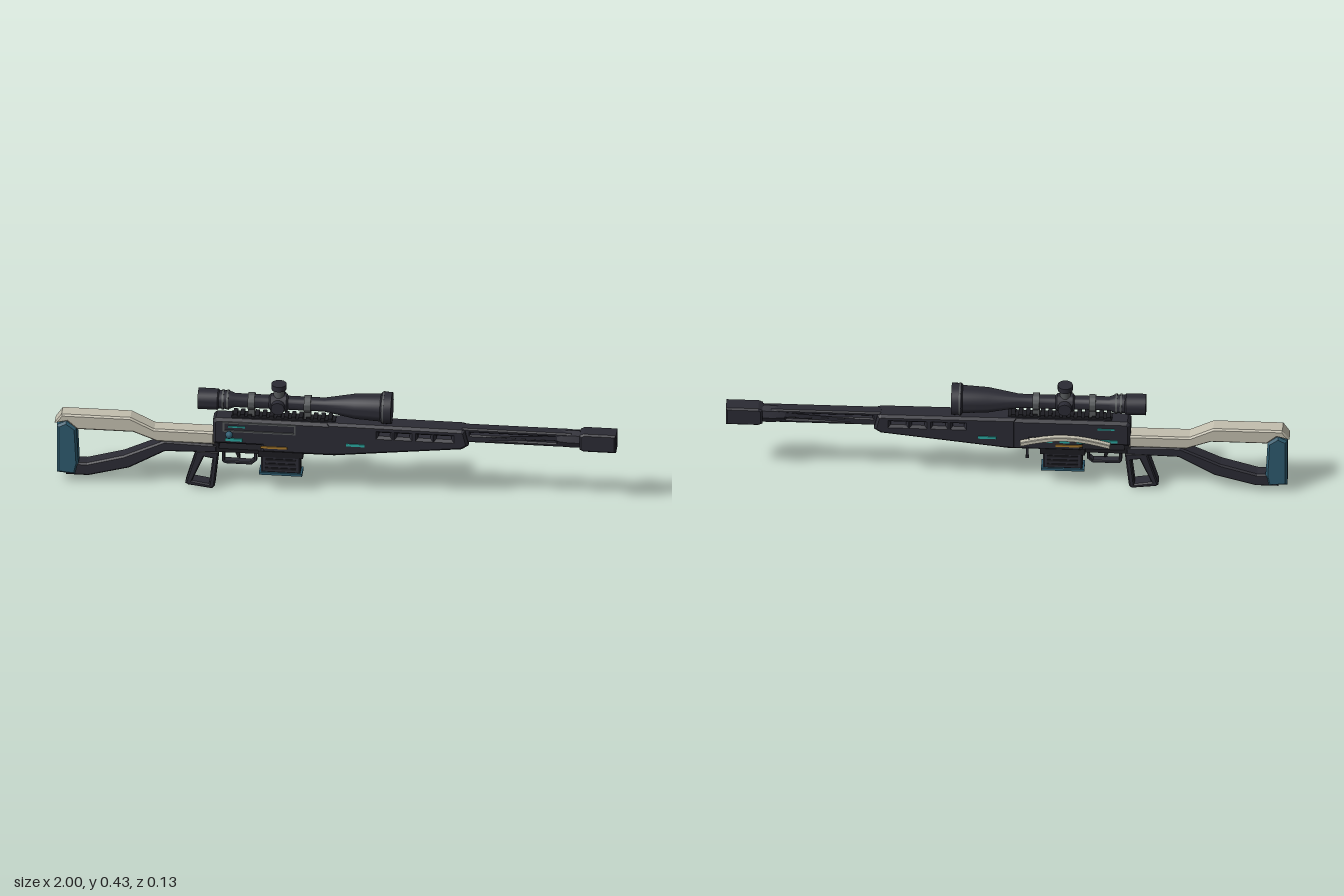
import * as THREE from 'three';
import { toCreasedNormals } from 'three/addons/utils/BufferGeometryUtils.js';

const mat = (name, color) => Object.assign(new THREE.MeshStandardMaterial({ color }), { name });

export function createModel() {
  const root = new THREE.Group();
  root.name = 'rifle';
  const body = new THREE.Group();
  body.name = 'rifleBody';
  body.position.z = -0.003;
  root.add(body);

  const dark = mat('charcoal', 0x2b2b34);
  const black = mat('black', 0x1c1c21);
  const grey = mat('grey metal', 0x55585a);
  const beige = mat('beige', 0xc2beae);
  const blue = mat('petrol blue', 0x2d5a6e);
  const teal = mat('teal light', 0x2aa79f);
  const gold = mat('gold', 0xa8792c);

  function add(name, geo, material, x = 0, y = 0, z = 0) {
    const m = new THREE.Mesh(geo, material);
    m.name = name;
    m.position.set(x, y, z);
    body.add(m);
    return m;
  }
  const box = (name, m, x0, x1, y0, y1, w, z = 0) =>
    add(name, new THREE.BoxGeometry(x1 - x0, y1 - y0, w), m, (x0 + x1) / 2, (y0 + y1) / 2, z);
  const path = (pts) => pts.map(([x, y]) => new THREE.Vector2(x, y));
  const rect = (x0, x1, y0, y1) => [[x0, y0], [x1, y0], [x1, y1], [x0, y1]];

  // Side profile extruded across z, with chamfered edges
  function prism(name, m, pts, w, bevel = 0.006, holes = [], z = 0) {
    const shape = new THREE.Shape(path(pts));
    holes.forEach((h) => shape.holes.push(new THREE.Path(path(h))));
    const geo = new THREE.ExtrudeGeometry(shape, {
      depth: w - 2 * bevel, bevelEnabled: bevel > 0, bevelSegments: 1,
      bevelSize: bevel, bevelThickness: bevel, bevelOffset: -bevel,
    });
    geo.translate(0, 0, -w / 2 + bevel);
    return add(name, geo, m, 0, 0, z);
  }
  // Turned part along x from [x, radius] pairs
  function turned(name, m, pts, y, seg = 28) {
    const geo = new THREE.LatheGeometry(path(pts.map(([x, r]) => [r, x])), seg);
    geo.rotateZ(-Math.PI / 2);
    return add(name, toCreasedNormals(geo, 0.5), m, 0, y, 0);
  }
  const cyl = (name, m, r, h, x, y, z = 0, seg = 20) =>
    add(name, new THREE.CylinderGeometry(r, r, h, seg), m, x, y, z);

  // Stock: top bar, lower strut and butt pad
  prism('stockTop', beige, [[-1, 0.24], [-0.975, 0.278], [-0.73, 0.278], [-0.645, 0.236], [-0.43, 0.236],
    [-0.43, 0.186], [-0.635, 0.186], [-0.72, 0.219], [-0.92, 0.219], [-0.955, 0.25]], 0.06);
  prism('stockStrut', dark, [[-0.96, 0.03], [-0.88, 0.03], [-0.735, 0.07], [-0.607, 0.145], [-0.42, 0.15],
    [-0.42, 0.182], [-0.61, 0.187], [-0.755, 0.118], [-0.885, 0.08], [-0.96, 0.08]], 0.054);
  prism('buttPad', blue, [[-0.992, 0.04], [-0.925, 0.034], [-0.915, 0.08], [-0.922, 0.222],
    [-0.958, 0.25], [-0.992, 0.232]], 0.064, 0.008);

  // Receiver
  prism('receiver', dark, [[-0.436, 0.192], [-0.436, 0.285], [-0.425, 0.296], [0, 0.296], [0, 0.165],
    [-0.265, 0.165], [-0.265, 0.192]], 0.07, 0.01);
  box('receiverRearPlate', black, -0.436, -0.415, 0.155, 0.2, 0.05);
  box('lowerRail', black, -0.43, -0.26, 0.153, 0.168, 0.044);
  for (const s of [1, -1]) {
    const z = s * 0.036;
    // Raised panel frame and coloured marks on each flank
    if (s > 0) prism('portFrame', grey, rect(-0.4, -0.14, 0.247, 0.287), 0.006, 0, [rect(-0.394, -0.146, 0.253, 0.281)], z);
    box('receiverLight', teal, -0.39, -0.33, 0.209, 0.22, 0.005, z);
    box('goldMark', gold, -0.265, -0.17, 0.186, 0.194, 0.005, z);
    box('foreEndLight', teal, 0.04, 0.105, 0.212, 0.222, 0.005, s * 0.0365);
    box('upperLight', teal, -0.38, -0.32, 0.265, 0.27, 0.005, z);
  }

  // Fore-end with through slots
  const slots = [[0.155, 0.195], [0.22, 0.265], [0.295, 0.34], [0.36, 0.415]];
  prism('foreEnd', dark, [[-0.03, 0.168], [0.01, 0.168], [0.45, 0.218], [0.475, 0.235], [0.462, 0.293],
    [0.45, 0.297], [-0.03, 0.299]], 0.072, 0.009, slots.map(([a, b]) => rect(a, b, 0.255, 0.269)));

  // Barrel with long lightening slots
  prism('barrel', dark, rect(0.45, 0.84, 0.243, 0.299), 0.042, 0.005,
    [rect(0.48, 0.785, 0.273, 0.283), rect(0.53, 0.785, 0.258, 0.264)]);
  turned('barrelCollar', dark, [[0.79, 0], [0.79, 0.027], [0.83, 0.033], [0.87, 0.033], [0.87, 0]], 0.27, 8);
  // Muzzle brake with three windows
  prism('muzzleBrake', dark, [[0.87, 0.24], [0.885, 0.233], [1, 0.233], [1, 0.305], [0.885, 0.305], [0.87, 0.298]],
    0.062, 0.006, [0, 1, 2].map((i) => rect(0.885 + i * 0.036, 0.91 + i * 0.036, 0.245, 0.293)));
  const bore = cyl('bore', black, 0.013, 0.004, 0.999, 0.268);
  bore.rotation.z = Math.PI / 2;

  // Top rail
  box('railBase', black, -0.37, 0.0, 0.293, 0.303, 0.038);
  for (let i = 0; i < 14; i++) box('railTooth', black, -0.365 + i * 0.026, -0.35 + i * 0.026, 0.302, 0.311, 0.042);

  // Scope
  const sy = 0.357;
  turned('scope', dark, [[-0.49, 0], [-0.49, 0.038], [-0.42, 0.038], [-0.415, 0.033], [-0.38, 0.033],
    [-0.36, 0.025], [-0.04, 0.025], [0.07, 0.045], [0.16, 0.05], [0.165, 0.057], [0.2, 0.057], [0.2, 0]], sy, 32);
  for (const x of [-0.405, -0.388])
    turned('eyepieceRing', grey, [[x, 0.03], [x, 0.036], [x + 0.007, 0.036], [x + 0.007, 0.03]], sy);
  turned('bellRing', grey, [[0.168, 0.05], [0.168, 0.0585], [0.173, 0.0585], [0.173, 0.05]], sy, 32);
  for (const x of [-0.3, -0.1]) {
    turned('scopeRing', grey, [[x - 0.012, 0.024], [x - 0.012, 0.031], [x + 0.012, 0.031], [x + 0.012, 0.024]], sy);
    box('scopeMount', grey, x - 0.012, x + 0.012, 0.3, 0.335, 0.03);
  }
  const tx = -0.203;
  turned('turretHousing', dark, [[tx - 0.035, 0.024], [tx - 0.028, 0.032], [tx + 0.028, 0.032], [tx + 0.035, 0.024]], sy);
  cyl('turretStem', grey, 0.019, 0.05, tx, 0.393);
  cyl('turretCap', dark, 0.027, 0.02, tx, 0.423);
  for (const s of [1, -1]) {
    const knob = cyl('sideTurret', dark, 0.024, 0.022, tx, sy, s * 0.039);
    knob.rotation.x = Math.PI / 2;
  }

  // Bolt handle
  const stem = cyl('boltStem', dark, 0.006, 0.03, -0.375, 0.246, 0.045, 8);
  stem.rotation.x = Math.PI / 2;
  add('boltKnob', new THREE.SphereGeometry(0.014, 8, 6), blue, -0.375, 0.246, 0.058);

  // Arched side guard on the far flank
  const arch = [], under = [];
  for (let i = 0; i <= 8; i++) {
    const t = i / 8, x = -0.365 + 0.32 * t, y = 0.215 + 0.028 * Math.sin(Math.PI * t);
    arch.push([x, y]);
    under.unshift([x, y - 0.017]);
  }
  prism('sideGuard', beige, [...arch, ...under], 0.02, 0.002, [], -0.051);
  for (const x of [-0.32, -0.1]) box('sideGuardMount', black, x, x + 0.025, 0.21, 0.224, 0.02, -0.042);
  for (let i = 0; i < 3; i++) box('guardLight', teal, -0.28 + i * 0.06, -0.245 + i * 0.06, 0.203, 0.211, 0.005, -0.036);

  // Magazine
  box('magazineCollar', black, -0.275, -0.115, 0.145, 0.17, 0.058);
  prism('magazine', dark, rect(-0.265, -0.125, 0.08, 0.15), 0.05, 0.005);
  for (let i = 0; i < 3; i++) box('magazineRib', black, -0.25, -0.14, 0.094 + i * 0.018, 0.102 + i * 0.018, 0.055);
  box('magazineBase', blue, -0.272, -0.118, 0.071, 0.081, 0.054);

  // Open pistol grip
  prism('grip', dark, [[-0.535, 0.02], [-0.525, 0.013], [-0.44, 0.002], [-0.43, 0.012], [-0.415, 0.155], [-0.495, 0.155]],
    0.052, 0.005, [[[-0.51, 0.03], [-0.45, 0.02], [-0.438, 0.125], [-0.468, 0.13]]]);
  // Trigger guard and trigger
  prism('triggerGuard', dark, [[-0.405, 0.16], [-0.405, 0.112], [-0.395, 0.102], [-0.3, 0.102], [-0.28, 0.12], [-0.28, 0.16]],
    0.028, 0.002, [[[-0.395, 0.155], [-0.395, 0.114], [-0.303, 0.112], [-0.29, 0.124], [-0.29, 0.155]]]);
  prism('trigger', black, [[-0.365, 0.16], [-0.35, 0.125], [-0.34, 0.122], [-0.345, 0.16]], 0.014, 0.001);

  // Small lever ahead of the magazine
  box('lever', dark, -0.074, -0.066, 0.14, 0.18, 0.006, -0.04);
  box('leverTip', dark, -0.076, -0.064, 0.138, 0.147, 0.01, -0.041);

  return root;
}
